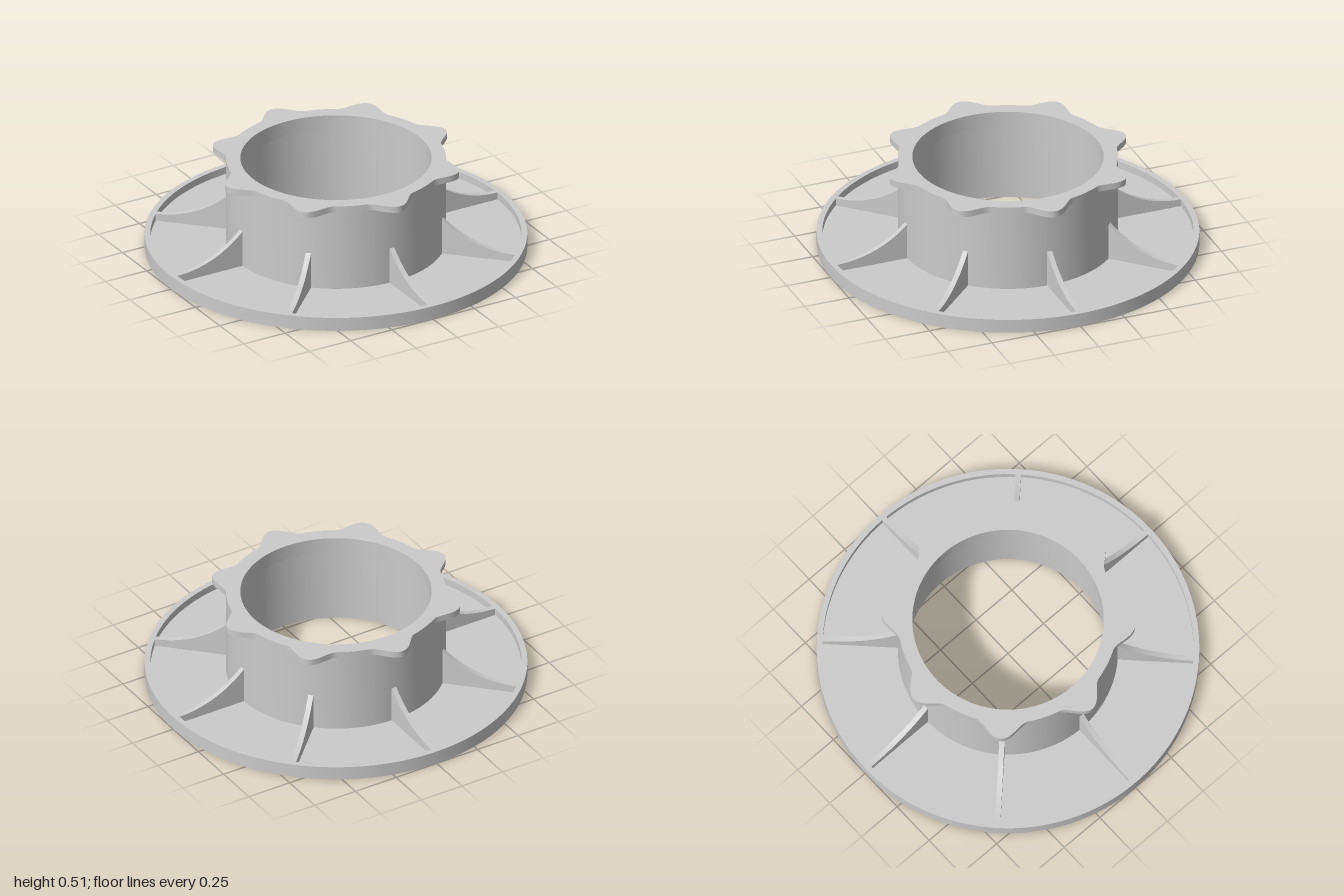
import * as THREE from 'three';
import { toCreasedNormals } from 'three/addons/utils/BufferGeometryUtils.js';

const RIBS = 8;
const BODY_R = 0.575, BORE_R = 0.525, LIP_R = 0.5;
const RIM_R = 0.97, RIM_Y = 0.075, FLOOR_Y = 0.035;
const FLANGE_Y = 0.48, TOP_Y = 0.515;

export function createModel() {
  const group = new THREE.Group();
  const material = new THREE.MeshStandardMaterial({ color: 0xcccccc });
  const add = (name, geometry) => {
    const mesh = new THREE.Mesh(toCreasedNormals(geometry, 0.5), material);
    mesh.name = name;
    group.add(mesh);
    return mesh;
  };

  // Dished base with raised rim, tubular collar and inner lip, as one closed profile
  const profile = [
    [BORE_R, 0], [1, 0], [1, RIM_Y], [RIM_R, RIM_Y], [RIM_R, FLOOR_Y],
    [BODY_R, FLOOR_Y], [BODY_R, FLANGE_Y], [LIP_R, FLANGE_Y],
    [LIP_R, 0.43], [BORE_R, 0.43], [BORE_R, 0],
  ].map(([r, y]) => new THREE.Vector2(r, y));
  add('baseAndCollar', new THREE.LatheGeometry(profile, 128));

  // Top flange with eight rounded lobes
  const outline = [];
  const steps = 384, pitch = (Math.PI * 2) / RIBS, halfLobe = THREE.MathUtils.degToRad(14);
  for (let i = 0; i < steps; i++) {
    const a = (i / steps) * Math.PI * 2;
    const offset = Math.abs(a - Math.round(a / pitch) * pitch);
    const bump = offset < halfLobe ? Math.cos((offset / halfLobe) * Math.PI / 2) ** 2 : 0;
    const r = BODY_R + 0.088 * bump;
    outline.push(new THREE.Vector2(r * Math.cos(a), r * Math.sin(a)));
  }
  const flangeShape = new THREE.Shape(outline);
  flangeShape.holes.push(new THREE.Path().absarc(0, 0, LIP_R, 0, Math.PI * 2, true));
  const flange = new THREE.ExtrudeGeometry(flangeShape, {
    depth: TOP_Y - FLANGE_Y, bevelEnabled: false, curveSegments: 64,
  });
  flange.rotateX(-Math.PI / 2).translate(0, FLANGE_Y, 0);
  add('lobedFlange', flange);

  // Gusset ribs: concave arc falling from the collar to the rim
  const ribR = 0.568, width = 0.028, inner = BODY_R - 0.01, outer = RIM_R + 0.003;
  const ribShape = new THREE.Shape();
  ribShape.moveTo(inner, FLOOR_Y - 0.01);
  ribShape.lineTo(outer, FLOOR_Y - 0.01);
  ribShape.lineTo(outer, RIM_Y);
  for (let i = 0; i <= 20; i++) {
    const x = RIM_R + (BODY_R - RIM_R) * (i / 20);
    ribShape.lineTo(x, RIM_Y + ribR - Math.sqrt(ribR ** 2 - (RIM_R - x) ** 2));
  }
  ribShape.lineTo(inner, 0.235);
  const rib = new THREE.ExtrudeGeometry(ribShape, { depth: width, bevelEnabled: false });
  rib.translate(0, 0, -width / 2);
  for (let i = 0; i < RIBS; i++) add('gussetRib' + (i + 1), rib).rotation.y = i * pitch;

  return group;
}
